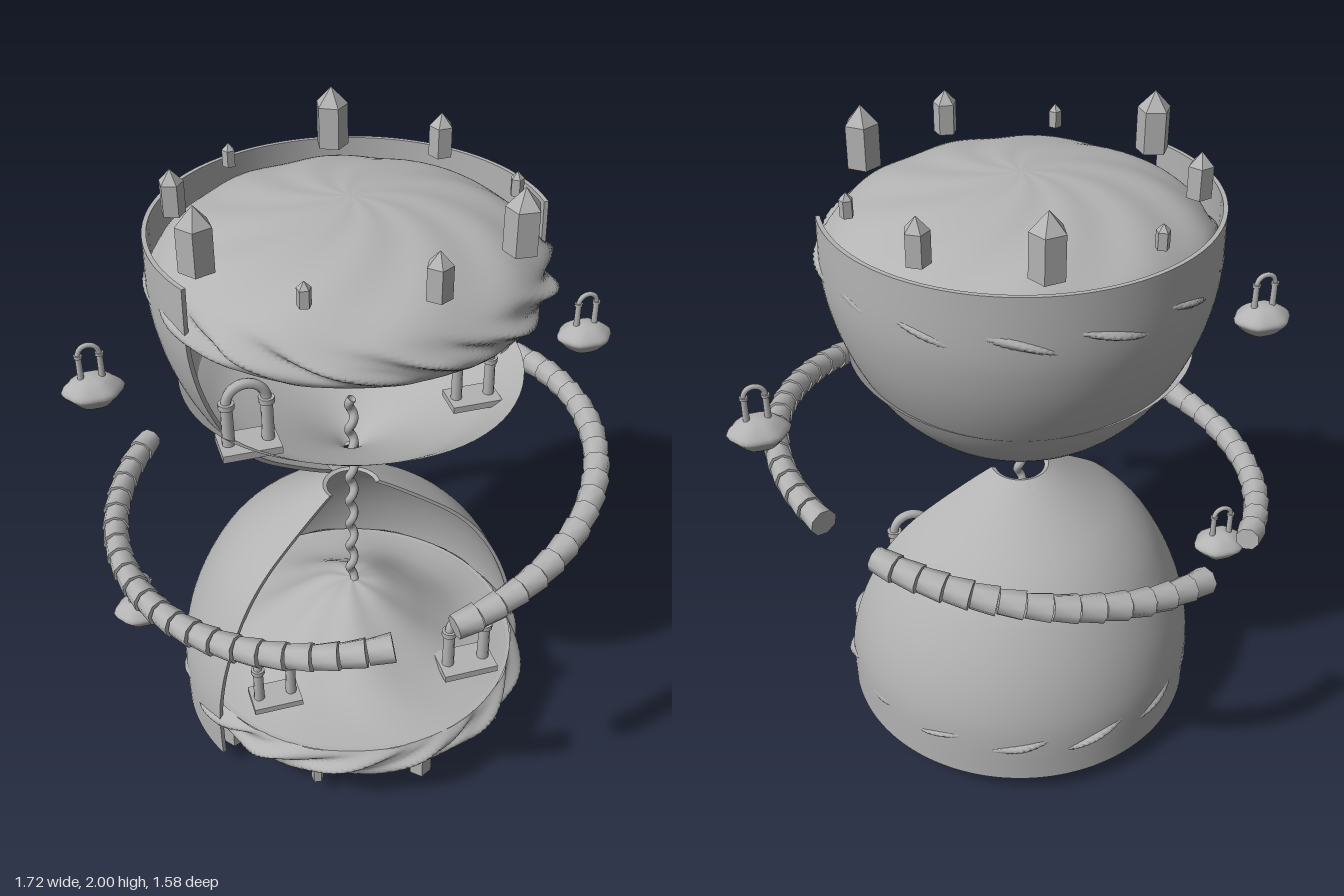
import * as THREE from 'three';
import { mergeVertices, toCreasedNormals } from 'three/addons/utils/BufferGeometryUtils.js';

const stone = new THREE.MeshStandardMaterial({ color: 0xb3b3b3, side: THREE.DoubleSide });
stone.name = 'grey stone';

const V2 = (x, y) => new THREE.Vector2(x, y);
const MID = 0.945; // mirror height of the hourglass
const rad = THREE.MathUtils.degToRad;

function add(parent, name, geometry, x = 0, y = 0, z = 0) {
  const mesh = new THREE.Mesh(geometry, stone);
  mesh.name = name;
  mesh.position.set(x, y, z);
  parent.add(mesh);
  return mesh;
}

function group(parent, name, x = 0, y = 0, z = 0) {
  const g = new THREE.Group();
  g.name = name;
  g.position.set(x, y, z);
  parent.add(g);
  return g;
}

const spline = (pairs, n) => new THREE.SplineCurve(pairs.map(p => V2(...p))).getPoints(n);

// lathe whose vertices are moved by a rule (radius, height, angle) -> [radius, height]
function warpedLathe(points, segments, rule) {
  let geo = new THREE.LatheGeometry(points, segments);
  geo.deleteAttribute('uv');
  geo.deleteAttribute('normal');
  const p = geo.attributes.position;
  for (let i = 0; i < p.count; i++) {
    const x = p.getX(i), z = p.getZ(i), a = Math.atan2(z, x);
    const [r, y] = rule(Math.hypot(x, z), p.getY(i), a);
    p.setXYZ(i, r * Math.cos(a), y, r * Math.sin(a));
  }
  geo = mergeVertices(geo, 1e-5);
  geo.computeVertexNormals();
  return geo;
}

// open-fronted glass bulb with wall thickness and closed cut edges
function addBulb(parent) {
  const outer = spline([[0.565, 0.08], [0.566, 0.25], [0.55, 0.36], [0.52, 0.46], [0.475, 0.56],
    [0.42, 0.65], [0.345, 0.73], [0.25, 0.8], [0.15, 0.865], [0.09, 0.9]], 36);
  const inner = outer.map(p => V2(p.x - 0.013, p.y - (p.y > 0.6 ? 0.005 : 0))).reverse();
  const profile = [...outer, ...inner, outer[0].clone()];
  const start = rad(85), length = rad(210);
  add(parent, 'glassBulb',
    toCreasedNormals(new THREE.LatheGeometry(profile, 72, start, length), rad(40)));
  for (const phi of [start, start + length]) {
    const cap = new THREE.ShapeGeometry(new THREE.Shape([...outer, ...inner]));
    add(parent, 'glassCutEdge', cap.rotateY(phi - Math.PI / 2));
  }
}

// rocky dome with slanted, swirling ridges around its rim
function addIsland(parent) {
  const profile = spline([[0, 0.005], [0.12, 0.012], [0.25, 0.03], [0.37, 0.06], [0.46, 0.1],
    [0.52, 0.145], [0.55, 0.19], [0.557, 0.22], [0.55, 0.25], [0.535, 0.27]], 40);
  const rock = warpedLathe(profile, 210, (r, y, a) => {
    const rim = Math.exp(-(((y - 0.215) / 0.04) ** 2));
    const swirl = a + 5 * (y - 0.22) + 0.37;
    const ridge = Math.cos(14 * swirl) * (0.8 + 0.2 * Math.sin(3 * a));
    const fine = Math.sin(31 * swirl + 2 * Math.sin(5 * a));
    const sweep = Math.sin(9 * (a - 2 * r)) * Math.min(1, r / 0.4);
    return [r + rim * (0.025 * ridge + 0.005 * fine),
      y < 0.269 ? y + 0.004 * sweep * (1 - rim) * (y < 0.2 ? 1 : 0.3) : y];
  });
  add(parent, 'islandRock', rock);
  add(parent, 'islandFlat', new THREE.CircleGeometry(0.535, 72).rotateX(-Math.PI / 2), 0, 0.27, 0);
}

// nine pointed crystals in three repeating sizes
function addCrystals(parent, y) {
  const sizes = [[0.02, 0.07], [0.05, 0.18], [0.036, 0.13]];
  for (let i = 0; i < 9; i++) {
    const [r, h] = sizes[i % 3], a = rad(i * 40);
    const crystal = group(parent, 'crystal', 0.485 * Math.cos(a), y, 0.485 * Math.sin(a));
    const body = new THREE.CylinderGeometry(r, r, h * 0.7, 5).toNonIndexed();
    const tip = new THREE.ConeGeometry(r, h * 0.3, 5).toNonIndexed();
    body.computeVertexNormals();
    tip.computeVertexNormals();
    add(crystal, 'crystalBody', body, 0, h * 0.35, 0);
    add(crystal, 'crystalTip', tip, 0, h * 0.85, 0);
    crystal.rotation.y = -a;
  }
}

// round arch on two posts, with an optional base slab
function addArch(parent, x, y, z, scale, slab = true) {
  const arch = group(parent, 'arch', x, y, z);
  arch.scale.setScalar(scale);
  if (slab) add(arch, 'archSlab', new THREE.BoxGeometry(0.18, 0.024, 0.12), 0, 0.012, 0);
  for (const s of [-1, 1]) {
    add(arch, 'archPost', new THREE.CylinderGeometry(0.018, 0.02, 0.15, 10), s * 0.06, 0.085, 0);
    add(arch, 'archCapital', new THREE.CylinderGeometry(0.025, 0.025, 0.018, 10), s * 0.06, 0.16, 0);
  }
  add(arch, 'archTop', new THREE.TorusGeometry(0.06, 0.016, 8, 20, Math.PI), 0, 0.165, 0);
}

// small floating rock carrying an arch
function addFloatingRock(parent, x, y, z) {
  const rock = group(parent, 'floatingRock', x, y, z);
  const profile = spline([[0, -0.055], [0.045, -0.045], [0.075, -0.018], [0.09, 0.003],
    [0.07, 0.025], [0.04, 0.042], [0, 0.048]], 18);
  add(rock, 'floatingRockBody', warpedLathe(profile, 24,
    (r, h, a) => [r * (0.98 + 0.04 * Math.cos(6 * a)), h])).scale.z = 0.83;
  addArch(rock, 0, 0.035, 0, 0.5, false);
}

// tilted ring of stone blocks, broken into three arcs
function addRing(parent) {
  const ring = group(parent, 'brokenRing', 0, MID, 0);
  ring.rotation.z = rad(10.1);
  const up = new THREE.Vector3(0, 1, 0), R = 0.75;
  const block = toCreasedNormals(new THREE.CylinderGeometry(0.036, 0.042, 0.07, 8), rad(50));
  for (const [from, to, count] of [[-117, -40, 14], [-25, 85, 20], [98, 222, 22]]) {
    for (let i = 0; i < count; i++) {
      const a = rad(from + (to - from) * (i + 0.5) / count);
      const mesh = add(ring, 'ringBlock', block, R * Math.cos(a), 0, R * Math.sin(a));
      mesh.quaternion.setFromUnitVectors(up, new THREE.Vector3(-Math.sin(a), 0, Math.cos(a)));
    }
  }
}

export function createModel() {
  const model = new THREE.Group();
  model.name = 'hourglass';
  const core = group(model, 'hourglassCore', -0.035, 0, 0);

  // lower half and its mirrored upper half
  for (const upper of [false, true]) {
    const half = group(core, upper ? 'upperHalf' : 'lowerHalf', 0, upper ? 2 * MID : 0, 0);
    half.scale.y = upper ? -1 : 1;
    addBulb(half);
    addIsland(half);
    addCrystals(core, upper ? 1.82 : 0.07);
  }

  // sand funnel above, mound below
  const funnel = spline([[0.022, 1.05], [0.06, 1.085], [0.15, 1.14], [0.26, 1.195],
    [0.37, 1.25], [0.45, 1.31], [0.505, 1.35]], 24);
  add(core, 'sandFunnel', warpedLathe(funnel, 72,
    (r, y, a) => [r, y + 0.008 * Math.cos(3 * a + 0.5) * (r / 0.5) ** 2]));
  const mound = spline([[0.535, 0.268], [0.45, 0.283], [0.36, 0.313], [0.27, 0.366],
    [0.18, 0.432], [0.09, 0.49], [0, 0.51]], 24);
  add(core, 'sandMound', warpedLathe(mound, 72,
    (r, y, a) => [r, y + 0.006 * Math.sin(7 * a + 8 * r) * Math.sin(Math.PI * r / 0.535)]));

  // wavy falling stream of sand
  const path = [];
  for (let i = 0; i <= 48; i++) {
    const t = i / 48 * 8 * Math.PI * 2;
    path.push(new THREE.Vector3(0.008 * Math.sin(t), 0.49 + 0.74 * i / 48, 0.008 * Math.cos(t)));
  }
  add(core, 'sandStream', new THREE.TubeGeometry(new THREE.CatmullRomCurve3(path), 160, 0.014, 8));

  // arches on the sand
  addArch(model, -0.4, 1.293, 0.24, 0.93);
  addArch(model, 0.27, 1.288, 0.2, 0.82);
  addArch(model, -0.37, 0.315, 0.27, 0.86);
  addArch(model, 0.26, 0.31, 0.3, 1);

  addRing(core);

  // floating rocks
  addFloatingRock(model, -0.775, 1.345, -0.09);
  addFloatingRock(model, 0.76, 1.25, -0.09);
  addFloatingRock(model, -0.72, 0.475, -0.09);
  return model;
}
